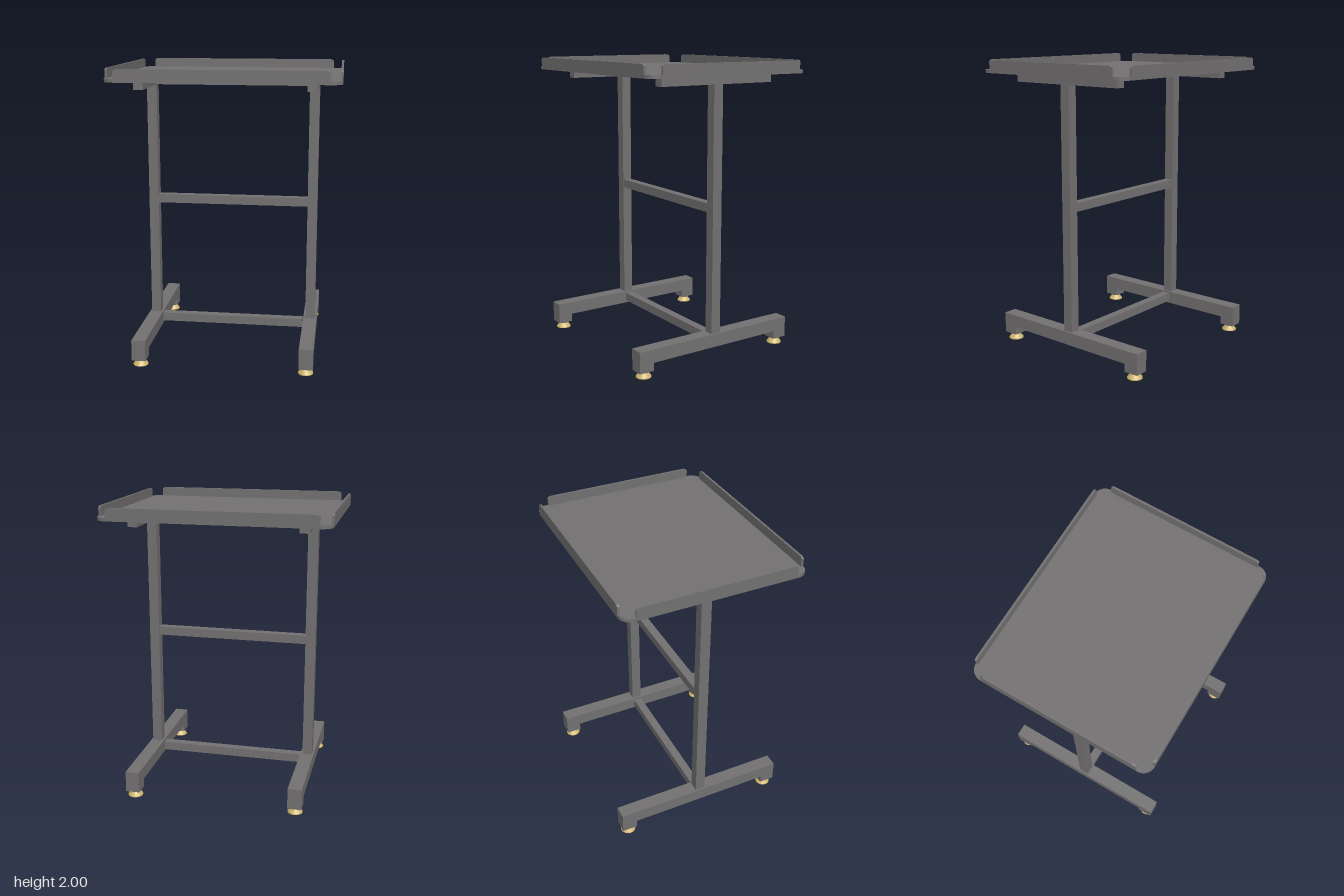
import * as THREE from 'three';

export function createModel() {
  const model = new THREE.Group();
  const steel = new THREE.MeshStandardMaterial({ color: 0x737171 });
  steel.name = 'grey steel';
  const brass = new THREE.MeshStandardMaterial({ color: 0xcdb46c });
  brass.name = 'brass';

  const add = (name, geometry, material, x = 0, y = 0, z = 0) => {
    const mesh = new THREE.Mesh(geometry, material);
    mesh.name = name;
    mesh.position.set(x, y, z);
    model.add(mesh);
    return mesh;
  };
  // Box given by its centre in x and z and its lower and upper height
  const bar = (name, w, d, y0, y1, x = 0, z = 0) =>
    add(name, new THREE.BoxGeometry(w, y1 - y0, d), steel, x, (y0 + y1) / 2, z);
  const extrude = (shape, depth) =>
    new THREE.ExtrudeGeometry(shape, { depth, bevelEnabled: false, curveSegments: 10 });

  // Table top: sheet with rounded corners
  const hx = 0.755, hz = 0.615, r = 0.075;
  const sheet = new THREE.Shape();
  sheet.moveTo(-hx + r, -hz);
  sheet.absarc(hx - r, -hz + r, r, -Math.PI / 2, 0);
  sheet.absarc(hx - r, hz - r, r, 0, Math.PI / 2);
  sheet.absarc(-hx + r, hz - r, r, Math.PI / 2, Math.PI);
  sheet.absarc(-hx + r, -hz + r, r, Math.PI, Math.PI * 1.5);
  const top = extrude(sheet, 0.022);
  top.rotateX(-Math.PI / 2);
  add('tableTop', top, steel, 0, 1.915, 0);

  // Upturned lips with softened upper corners
  const lipGeometry = (half) => {
    const s = new THREE.Shape();
    s.moveTo(-half, 0);
    s.lineTo(half, 0);
    s.lineTo(half, 0.053);
    s.quadraticCurveTo(half - 0.01, 0.065, half - 0.03, 0.065);
    s.lineTo(-half + 0.03, 0.065);
    s.quadraticCurveTo(-half + 0.01, 0.065, -half, 0.053);
    return extrude(s, 0.015);
  };
  const longLip = lipGeometry(0.68);
  const shortLip = lipGeometry(0.53);
  add('frontLip', longLip, steel, 0, 1.935, hz - 0.015);
  add('backLip', longLip, steel, 0, 1.935, -hz);
  add('leftLip', shortLip, steel, hx - 0.015, 1.935, 0).rotation.y = Math.PI / 2;
  add('rightLip', shortLip, steel, -hx, 1.935, 0).rotation.y = Math.PI / 2;

  // Base foot side profile, stepped down at both ends
  const foot = new THREE.Shape();
  [[-0.61, 0.045], [-0.505, 0.045], [-0.505, 0.1], [0.505, 0.1],
    [0.505, 0.045], [0.61, 0.045], [0.61, 0.19], [-0.61, 0.19]]
    .forEach(([z, y], i) => (i ? foot.lineTo(z, y) : foot.moveTo(z, y)));
  const footGeometry = extrude(foot, 0.095);
  footGeometry.translate(0, 0, -0.0475);
  footGeometry.rotateY(Math.PI / 2);

  // Levelling pad: flat rim and cone
  const padGeometry = new THREE.LatheGeometry(
    [[0, 0], [0.051, 0], [0.051, 0], [0.051, 0.006], [0.051, 0.006],
      [0.028, 0.036], [0.028, 0.036], [0, 0.036]].map(([x, y]) => new THREE.Vector2(x, y)), 32);
  const collarGeometry = new THREE.CylinderGeometry(0.035, 0.035, 0.014, 32);

  // Side frames
  for (const side of [-1, 1]) {
    const prefix = side > 0 ? 'left' : 'right';
    bar(prefix + 'Post', 0.068, 0.07, 0.19, 1.855, side * 0.565);
    bar(prefix + 'TopSupport', 0.065, 0.87, 1.855, 1.915, side * 0.563);
    add(prefix + 'Foot', footGeometry, steel, side * 0.564, 0, 0);
    for (const z of [-0.553, 0.553]) {
      add('levellingPad', padGeometry, brass, side * 0.562, 0, z);
      add('padCollar', collarGeometry, steel, side * 0.562, 0.042, z);
    }
  }

  // Cross rails
  bar('topRail', 1.064, 0.06, 1.857, 1.913);
  bar('middleRail', 1.064, 0.06, 1.016, 1.076);
  bar('lowerRail', 1.03, 0.06, 0.118, 0.178, -0.004);

  return model;
}
